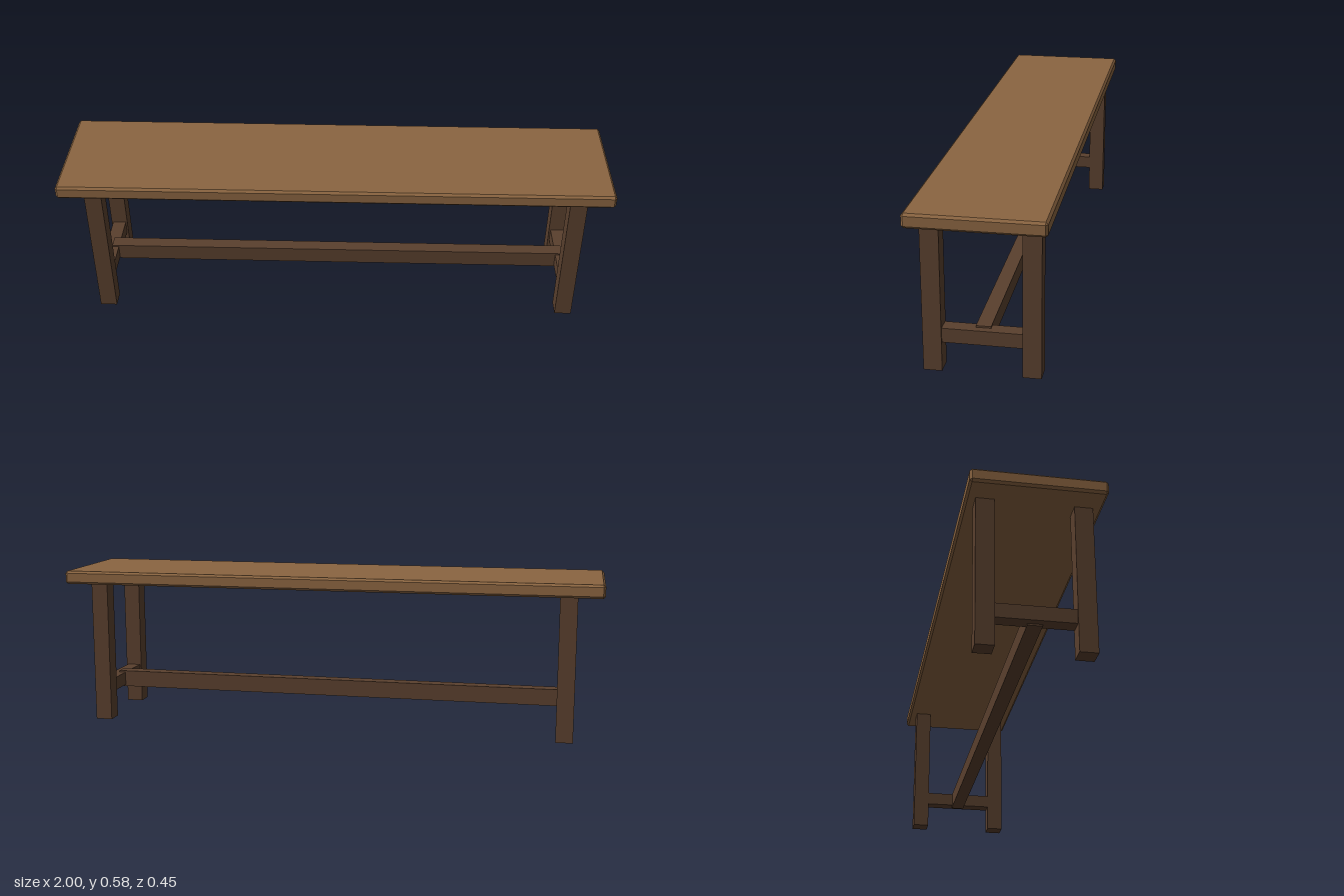
import * as THREE from 'three';
import { ConvexGeometry } from 'three/addons/geometries/ConvexGeometry.js';

// Box with every edge cut at 45 degrees
function chamferBox(w, h, d, c) {
  const points = [];
  const [x, y, z] = [w / 2, h / 2, d / 2];
  for (const sx of [-1, 1]) for (const sy of [-1, 1]) for (const sz of [-1, 1]) {
    points.push(
      new THREE.Vector3(sx * x, sy * (y - c), sz * (z - c)),
      new THREE.Vector3(sx * (x - c), sy * y, sz * (z - c)),
      new THREE.Vector3(sx * (x - c), sy * (y - c), sz * z)
    );
  }
  return new ConvexGeometry(points);
}

export function createModel() {
  const bench = new THREE.Group();
  bench.name = 'bench';

  const seatWood = new THREE.MeshStandardMaterial({ color: 0x8b6541 });
  seatWood.name = 'seatWood';
  const frameWood = new THREE.MeshStandardMaterial({ color: 0x5a402e });
  frameWood.name = 'frameWood';

  const add = (name, geometry, material, x, y, z) => {
    const mesh = new THREE.Mesh(geometry, material);
    mesh.name = name;
    mesh.position.set(x, y, z);
    bench.add(mesh);
  };

  const seatBottom = 0.528, seatThickness = 0.049;
  const legX = 0.876, legZ = 0.163, legWidth = 0.062;

  // Seat plank
  add('seat', chamferBox(2, seatThickness, 0.452, 0.008), seatWood, 0, seatBottom + seatThickness / 2, 0);

  // Legs, with a cross rail joining each end pair
  const leg = new THREE.BoxGeometry(legWidth, seatBottom, legWidth);
  const crossRail = new THREE.BoxGeometry(0.05, 0.05, 2 * legZ - legWidth);
  for (const [side, sx] of [['left', 1], ['right', -1]]) {
    add(side + 'FrontLeg', leg, frameWood, sx * legX, seatBottom / 2, legZ);
    add(side + 'BackLeg', leg, frameWood, sx * legX, seatBottom / 2, -legZ);
    add(side + 'CrossRail', crossRail, frameWood, sx * legX, 0.126, 0);
  }

  // Long stretcher between the cross rails
  add('stretcher', new THREE.BoxGeometry(2 * legX, 0.062, 0.05), frameWood, 0, 0.126, 0);

  return bench;
}
